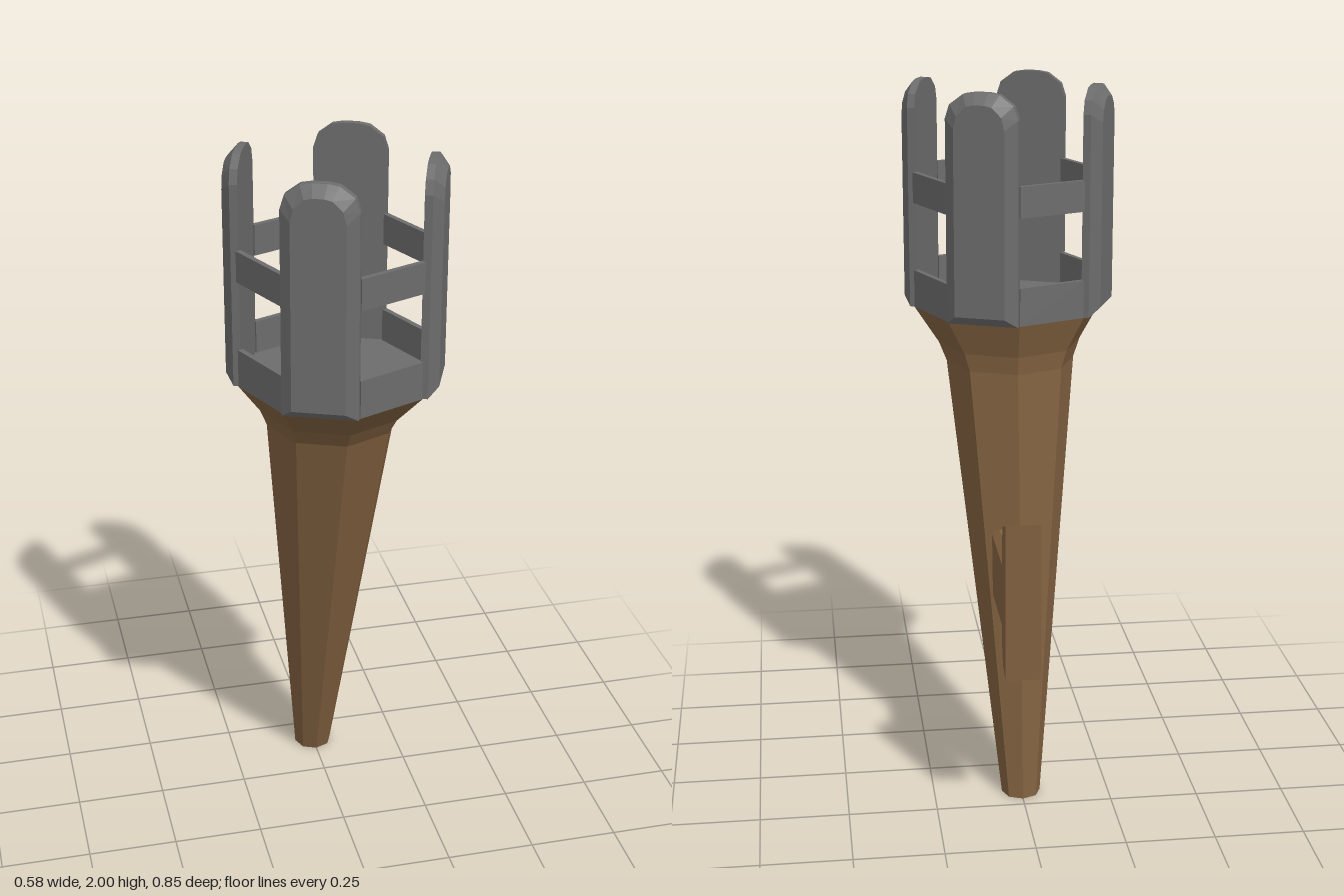
import * as THREE from 'three';

const wood = new THREE.MeshStandardMaterial({ color: 0x80603f, flatShading: true });
const iron = new THREE.MeshStandardMaterial({ color: 0x6c6c6c, flatShading: true });

const BASKET_Z = 0.135; // basket axis
const APOTHEM = 0.245; // distance from the axis to an octagon side
const rad = THREE.MathUtils.degToRad;

// Joins equal rings of [x, y, z] (counterclockwise seen from the last ring) and caps both ends
function loft(rings) {
  const pos = [];
  const n = rings[0].length;
  const tri = (a, b, c) => pos.push(...a, ...b, ...c);
  for (let k = 0; k < rings.length - 1; k++) {
    const lo = rings[k], hi = rings[k + 1];
    for (let i = 0; i < n; i++) {
      const j = (i + 1) % n;
      tri(lo[i], lo[j], hi[j]);
      tri(lo[i], hi[j], hi[i]);
    }
  }
  const first = rings[0], last = rings[rings.length - 1];
  for (let i = 1; i < n - 1; i++) {
    tri(first[0], first[i + 1], first[i]);
    tri(last[0], last[i], last[i + 1]);
  }
  const g = new THREE.BufferGeometry();
  g.setAttribute('position', new THREE.Float32BufferAttribute(pos, 3));
  g.computeVertexNormals();
  return g;
}

function octagon(y, z, r) {
  return Array.from({ length: 8 }, (_, i) => {
    const a = (i * Math.PI) / 4;
    return [r * Math.sin(a), y, z + r * Math.cos(a)];
  });
}

function extrude(points, depth) {
  const shape = new THREE.Shape(points.map(([x, y]) => new THREE.Vector2(x, y)));
  return new THREE.ExtrudeGeometry(shape, { depth, bevelEnabled: false });
}

function add(parent, name, geometry, material) {
  const mesh = new THREE.Mesh(geometry, material);
  mesh.name = name;
  parent.add(mesh);
  return mesh;
}

// Upright plate with a rounded top and chamfered outer face, facing local +z
function panelGeometry() {
  const half = [[0.1, 1.375], [0.1, 1.93], [0.088, 1.967], [0.05, 1.995], [0.02, 2]];
  const outline = [...half, ...half.map(([x, y]) => [-x, y]).reverse()];
  const ring = (z, sx, bottom, top) => outline.map(([x, y]) =>
    [x * sx, THREE.MathUtils.mapLinear(y, 1.375, 2, bottom, top), z]);
  return loft([
    ring(0.237, 1, 1.375, 2),
    ring(0.258, 1, 1.375, 2),
    ring(0.284, 0.7, 1.4, 1.97),
  ]);
}

export function createModel() {
  const model = new THREE.Group();
  model.name = 'wallTorch';

  // Leaning, tapered handle flaring out below the basket
  add(model, 'handle', loft([
    octagon(0, -0.163, 0.055),
    octagon(1.23, 0.085, 0.18),
    octagon(1.28, 0.1, 0.2),
    octagon(1.375, BASKET_Z, 0.265),
  ]), wood);

  // Iron basket: floor, four plates, and bars across the gaps
  const basket = new THREE.Group();
  basket.name = 'basket';
  basket.position.z = BASKET_Z;
  model.add(basket);
  add(basket, 'basketFloor', new THREE.CylinderGeometry(0.26, 0.26, 0.012, 8), iron).position.y = 1.383;

  const panel = panelGeometry();
  for (let i = 0; i < 4; i++) {
    add(basket, 'panel', panel, iron).rotation.y = rad(67.5 + 90 * i);
    const gap = new THREE.Group();
    gap.name = 'gapBars';
    gap.rotation.y = rad(22.5 + 90 * i);
    basket.add(gap);
    for (const [name, low, high] of [['lowerBar', 1.375, 1.48], ['upperBar', 1.67, 1.755]]) {
      const bar = add(gap, name, new THREE.BoxGeometry(0.2, high - low, 0.015), iron);
      bar.position.set(0, (low + high) / 2, APOTHEM - 0.0075);
    }
  }

  // Wall mount: arm with chamfered top edges, and back plate with cut corners
  const mount = new THREE.Group();
  mount.name = 'wallMount';
  model.add(mount);
  add(mount, 'mountArm', extrude([
    [-0.021, 0.6], [0.075, 0.6], [0.075, 0.775], [0.055, 0.79], [-0.001, 0.79], [-0.021, 0.775],
  ], 0.275), wood).position.z = -0.355;

  const plate = extrude([
    [0.345, 0.55], [0.368, 0.492], [0.427, 0.47], [0.427, 0.915], [0.368, 0.893], [0.345, 0.84],
  ], 0.096);
  plate.rotateY(Math.PI / 2);
  add(mount, 'mountPlate', plate, wood).position.x = -0.021;

  return model;
}
